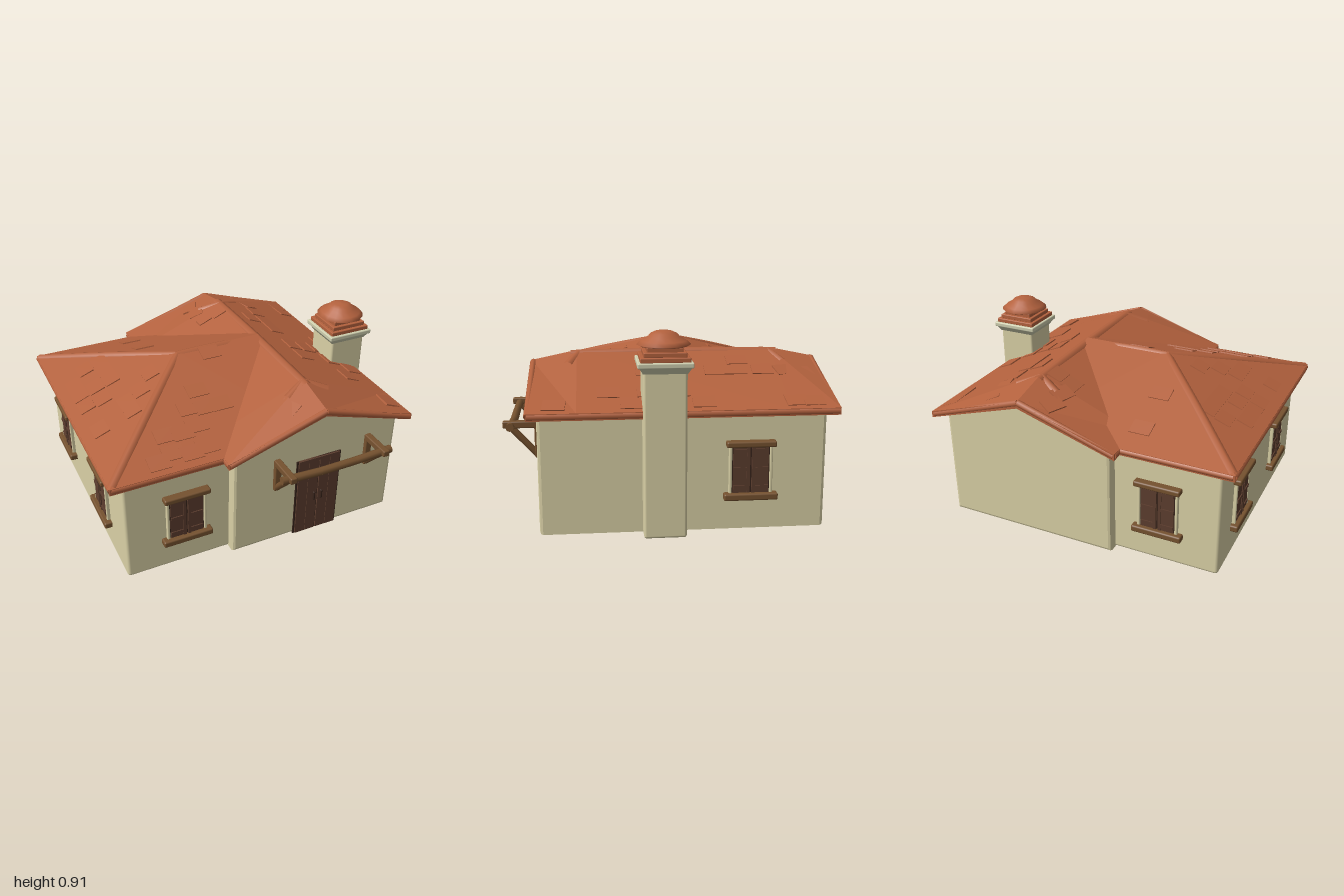
import * as THREE from 'three';
import { mergeGeometries } from 'three/addons/utils/BufferGeometryUtils.js';
import { RoundedBoxGeometry } from 'three/addons/geometries/RoundedBoxGeometry.js';

const material = (name, color) => Object.assign(new THREE.MeshStandardMaterial({ color }), { name });
const V = (x, y, z) => new THREE.Vector3(x, y, z);
const EAVE = 0.567, RIDGE_Z = -0.2375, WING_PEAK = 0.78;

// Roof heights: gabled main roof with drooping ends, hipped front wing
const ridgeY = x => 0.765 - 0.045 * Math.max(0, (Math.abs(x) - 0.47) / 0.215);
const mainY = (x, z) => {
  const r = ridgeY(x);
  return r + (EAVE - r) * Math.abs(z - RIDGE_Z) / 0.4875;
};
const wingY = (x, z) => z < RIDGE_Z ? 0 : Math.min(
  WING_PEAK - (WING_PEAK - EAVE) * Math.abs(x) / 0.632,
  EAVE + (WING_PEAK - EAVE) * (0.783 - z) / 0.573);
const roofY = (x, z) => Math.max(z < 0.25 ? mainY(x, z) : 0, wingY(x, z));

// Thick sheet: top faces, matching underside and a rim along the boundary
function slab(points, tris, boundary, thickness) {
  const pos = [];
  const low = points.map(p => V(p.x, p.y - thickness, p.z));
  const add = (...ps) => ps.forEach(p => pos.push(p.x, p.y, p.z));
  for (const t of tris) {
    let [a, b, c] = t;
    const A = points[a];
    const n = points[b].clone().sub(A).cross(points[c].clone().sub(A));
    if (n.y < 0) [b, c] = [c, b];
    add(A, points[b], points[c]);
    add(low[a], low[c], low[b]);
  }
  boundary.forEach((a, i) => {
    const b = boundary[(i + 1) % boundary.length];
    add(points[a], low[a], points[b], points[b], low[a], low[b]);
  });
  const g = new THREE.BufferGeometry();
  g.setAttribute('position', new THREE.Float32BufferAttribute(pos, 3));
  g.computeVertexNormals();
  return g;
}

export function createModel() {
  const plaster = material('plaster', 0xdad1a6);
  const trim = material('pale trim', 0xd0d0b0);
  const clay = material('clay tile', 0xb4623e);
  const wood = material('beam wood', 0x76522f);
  const dark = material('door wood', 0x5c3d2e);
  const shadowWood = material('dark joint', 0x38241b);

  const model = new THREE.Group();
  model.name = 'cottage';
  const house = new THREE.Group();
  house.name = 'house';
  house.rotation.y = -0.703;
  model.add(house);

  const put = (parent, name, geometry, mat, x = 0, y = 0, z = 0) => {
    const m = new THREE.Mesh(geometry, mat);
    m.name = name;
    m.position.set(x, y, z);
    parent.add(m);
    return m;
  };
  const box = (parent, name, mat, w, h, d, x, y, z, r = 0) => put(parent, name,
    r ? new RoundedBoxGeometry(w, h, d, 2, r) : new THREE.BoxGeometry(w, h, d), mat, x, y, z);
  const log = (parent, name, mat, a, b, r, sides = 8) => {
    const d = b.clone().sub(a);
    const m = put(parent, name, new THREE.CylinderGeometry(r, r, d.length(), sides), mat);
    m.position.copy(a).add(b).multiplyScalar(0.5);
    m.quaternion.setFromUnitVectors(V(0, 1, 0), d.normalize());
    return m;
  };

  // Walls
  const gable = new THREE.Shape([[0.67, 0], [0.67, 0.55], [-RIDGE_Z, 0.715], [-0.207, 0.55], [-0.207, 0]]
    .map(p => new THREE.Vector2(...p)));
  const mainWall = new THREE.ExtrudeGeometry(gable, {
    depth: 1.26, bevelEnabled: true, bevelSize: 0.015, bevelOffset: -0.015, bevelThickness: 0.015, bevelSegments: 2,
  });
  mainWall.rotateY(Math.PI / 2).translate(-0.63, 0, 0);
  put(house, 'mainWalls', mainWall, plaster);
  box(house, 'wingWalls', plaster, 1.19, 0.555, 0.87, 0, 0.2775, 0.285, 0.015);

  // Main roof
  const rows = [-0.69, -0.47, 0.47, 0.685];
  const mainPts = rows.flatMap(x => [V(x, EAVE, -0.725), V(x, ridgeY(x), RIDGE_Z), V(x, EAVE, 0.25)]);
  const mainTris = [];
  for (let i = 0; i < 3; i++) for (let j = 0; j < 2; j++) {
    const a = i * 3 + j;
    mainTris.push([a, a + 1, a + 4], [a, a + 4, a + 3]);
  }
  put(house, 'mainRoof', slab(mainPts, mainTris, [0, 1, 2, 5, 8, 11, 10, 9, 6, 3], 0.032), clay);

  // Hipped wing roof
  const wingPts = [V(-0.632, EAVE, RIDGE_Z), V(-0.632, EAVE, 0.783), V(0.632, EAVE, 0.783),
    V(0.632, EAVE, RIDGE_Z), V(0, WING_PEAK, RIDGE_Z), V(0, WING_PEAK, 0.21)];
  put(house, 'wingRoof', slab(wingPts,
    [[0, 1, 5], [0, 5, 4], [1, 2, 5], [2, 3, 5], [3, 4, 5]], [0, 1, 2, 3, 4], 0.032), clay);

  // Rolled eaves and rakes
  const edge = (...pts) => pts.slice(1).forEach((p, i) => log(house, 'roofEdge', clay, pts[i], p, 0.016));
  edge(V(-0.685, 0.552, -0.715), V(0.68, 0.552, -0.715));
  for (const s of [-1, 1]) {
    edge(V(s * 0.678, 0.553, -0.715), V(s * 0.678, 0.71, RIDGE_Z), V(s * 0.678, 0.553, 0.243));
    edge(V(s * 0.678, 0.553, 0.24), V(s * 0.61, 0.553, 0.24));
    edge(V(s * 0.622, 0.553, 0.22), V(s * 0.622, 0.553, 0.773));
  }
  edge(V(-0.622, 0.553, 0.773), V(0.622, 0.553, 0.773));

  // Soft ridge and hip caps
  const cap = (r, ...pts) => put(house, 'ridgeCap',
    new THREE.TubeGeometry(new THREE.CatmullRomCurve3(pts), 12, r, 8), clay);
  cap(0.03, V(-0.5, 0.735, RIDGE_Z), V(0, 0.742, RIDGE_Z), V(0.5, 0.735, RIDGE_Z));
  cap(0.028, V(0, 0.745, RIDGE_Z), V(0, 0.755, 0.0), V(0, 0.753, 0.22));
  for (const s of [-1, 1]) {
    cap(0.026, V(0, 0.755, 0.21), V(s * 0.3, 0.662, 0.483), V(s * 0.615, 0.553, 0.768));
    for (const t of [-1, 1]) {
      const z = RIDGE_Z + t * 0.105;
      cap(0.026, V(s * 0.46, 0.74, RIDGE_Z), V(s * 0.485, 0.722, RIDGE_Z + t * 0.05), V(s * 0.51, mainY(0.51, z) - 0.014, z));
    }
  }

  // Scattered raised tiles following the slopes
  let seed = 7;
  const rand = () => (seed = (seed * 16807) % 2147483647) / 2147483647;
  const tiles = [];
  for (let x = -0.6; x < 0.63; x += 0.105) for (let z = -0.665; z < 0.74; z += 0.08) {
    const keep = rand() < 0.5, px = x + (rand() - 0.5) * 0.04;
    const onSide = z > RIDGE_Z && wingY(px, z) >= mainY(px, z) && z < 0.25;
    if (!keep || (onSide && px < 0) || Math.abs(px) > 0.6) continue;
    const y = roofY(px, z), e = 0.045;
    const gx = (roofY(px + e, z) - roofY(px - e, z)) / (2 * e);
    const gz = (roofY(px, z + e) - roofY(px, z - e)) / (2 * e);
    const bent = [[e, e], [e, -e], [-e, e], [-e, -e]]
      .some(([dx, dz]) => Math.abs(roofY(px + dx, z + dz) - y - gx * dx - gz * dz) > 0.004);
    if (bent || Math.hypot(gx, gz) < 0.1) continue;
    const n = V(-gx, 1, -gz).normalize();
    const down = V(-gx, -gx * gx - gz * gz, -gz).normalize();
    const tile = new THREE.BoxGeometry(0.1, 0.008, 0.078).rotateX(0.03);
    tile.applyMatrix4(new THREE.Matrix4().makeBasis(n.clone().cross(down), n, down).setPosition(px, y + 0.001, z));
    tiles.push(tile);
  }
  put(house, 'roofTiles', mergeGeometries(tiles), clay);

  // Chimney with stepped tiled cap
  const chimney = new THREE.Group();
  chimney.name = 'chimney';
  chimney.position.set(0.09, 0, -0.667);
  house.add(chimney);
  box(chimney, 'chimneyShaft', plaster, 0.19, 0.765, 0.19, 0, 0.3825, 0, 0.012);
  const flare = new THREE.CylinderGeometry(0.16, 0.135, 0.03, 4).rotateY(Math.PI / 4);
  put(chimney, 'chimneyFlare', flare, trim, 0, 0.752, 0);
  box(chimney, 'chimneyCornice', trim, 0.24, 0.024, 0.24, 0, 0.775, 0, 0.006);
  [[0.215, 0.796], [0.185, 0.816], [0.155, 0.835]].forEach(([w, y]) =>
    box(chimney, 'chimneyTileStep', clay, w, 0.022, w, 0, y, 0, 0.004));
  const dome = [[0.001, 0.84], [0.105, 0.845], [0.118, 0.852], [0.1, 0.868], [0.07, 0.885], [0.058, 0.899], [0.035, 0.909], [0, 0.912]];
  put(chimney, 'chimneyDome', new THREE.LatheGeometry(dome.map(p => new THREE.Vector2(...p)), 16), clay);

  // Shuttered windows: x, z, facing angle
  const H = Math.PI / 2;
  [[-0.32, 0.72, 0], [0.27, 0.72, 0], [0.595, 0.425, H], [-0.595, 0.425, -H], [-0.3, -0.67, Math.PI]].forEach(([x, z, turn]) => {
    const w = new THREE.Group();
    w.name = 'window';
    w.position.set(x, 0, z);
    w.rotation.y = turn;
    house.add(w);
    box(w, 'windowBacking', shadowWood, 0.17, 0.23, 0.012, 0, 0.28, 0.003);
    for (const s of [-1, 1]) {
      box(w, 'windowReveal', plaster, 0.014, 0.225, 0.024, s * 0.092, 0.28, 0.005, 0.005);
      box(w, 'shutter', dark, 0.077, 0.22, 0.014, s * 0.042, 0.28, 0.007);
      for (const y of [0.2, 0.285, 0.37]) box(w, 'shutterRail', dark, 0.074, 0.016, 0.008, s * 0.042, y, 0.015);
      box(w, 'shutterStile', dark, 0.014, 0.21, 0.008, s * 0.012, 0.28, 0.015);
    }
    box(w, 'windowSill', wood, 0.245, 0.032, 0.05, 0, 0.158, 0.012, 0.008);
    box(w, 'windowLintel', wood, 0.225, 0.028, 0.05, 0, 0.402, 0.012, 0.008);
  });

  // Double plank door
  const door = new THREE.Group();
  door.name = 'door';
  door.position.set(0.645, 0, -0.24);
  door.rotation.y = H;
  house.add(door);
  box(door, 'doorBacking', shadowWood, 0.24, 0.44, 0.008, 0, 0.22, 0.002);
  for (const s of [-1, 1]) {
    for (const i of [0, 1]) box(door, 'doorPlank', dark, 0.053, 0.425, 0.014, s * (0.03 + i * 0.055), 0.2175, 0.006);
    box(door, 'doorHandle', shadowWood, 0.01, 0.05, 0.014, s * 0.02, 0.215, 0.016, 0.004);
  }
  box(door, 'doorHeader', dark, 0.22, 0.016, 0.014, 0, 0.432, 0.006);

  // Timber awning frame over the door
  const awning = new THREE.Group();
  awning.name = 'awning';
  house.add(awning);
  const beam = [V(0.77, 0.466, 0.03), V(0.772, 0.458, -0.17), V(0.768, 0.456, -0.36), V(0.77, 0.468, -0.555)];
  beam.slice(1).forEach((p, i) => log(awning, 'awningBeam', wood, beam[i], p, 0.019));
  for (const z of [-0.015, -0.51]) {
    box(awning, 'awningArm', wood, 0.18, 0.032, 0.034, 0.715, 0.472, z, 0.006);
    box(awning, 'awningPost', wood, 0.024, 0.15, 0.034, 0.652, 0.392, z, 0.006);
    log(awning, 'awningBrace', wood, V(0.652, 0.33, z), V(0.765, 0.455, z), 0.016);
  }
  return model;
}
